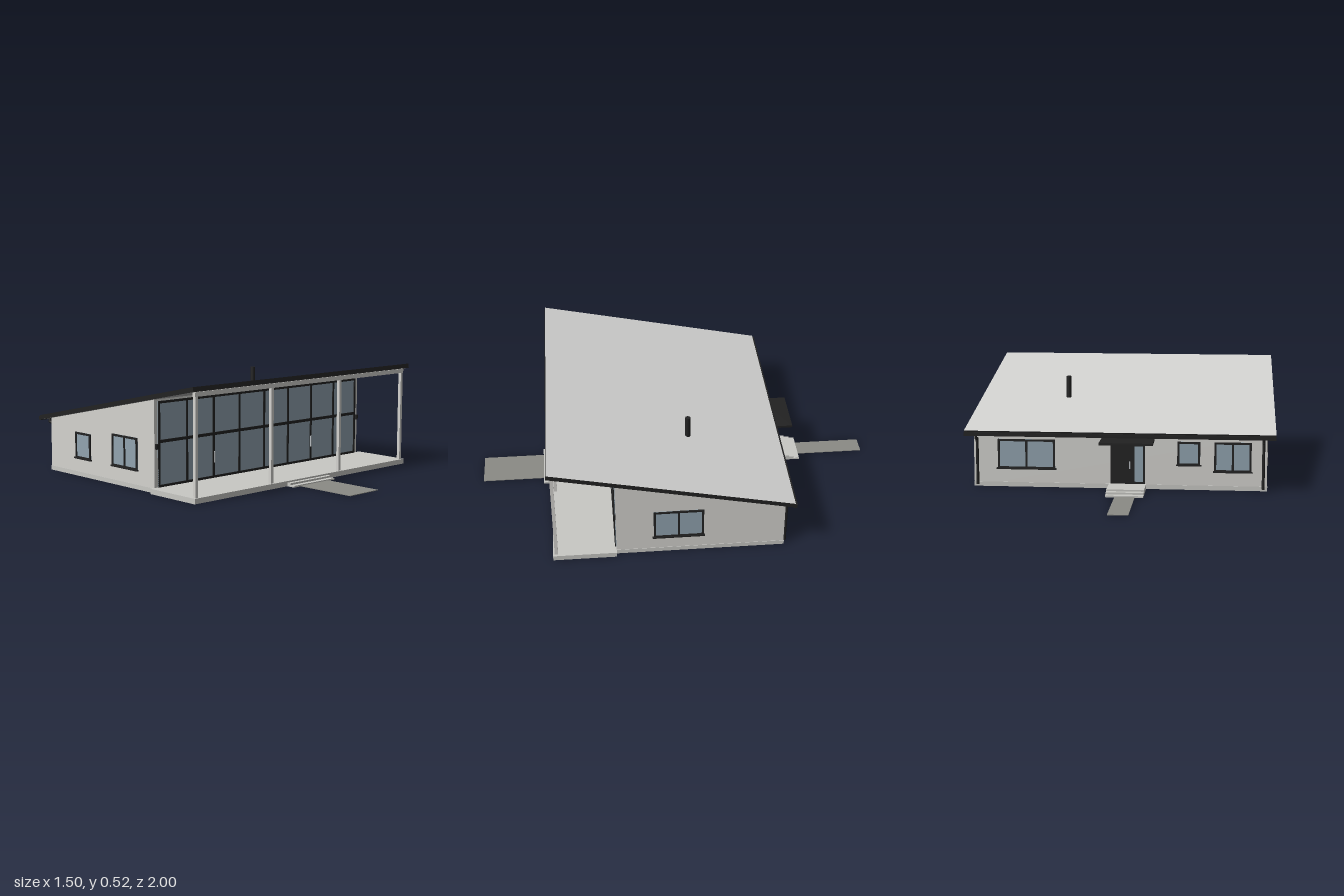
import * as THREE from 'three';

const mat = (name, color) => {
  const m = new THREE.MeshStandardMaterial({ color });
  m.name = name;
  return m;
};

export function createModel() {
  const root = new THREE.Group();
  root.name = 'house';
  const wall = mat('wall plaster', 0xd4d3cf);
  const concrete = mat('concrete', 0xc8c8c4);
  const roofing = mat('roof sheet', 0xd3d3d1);
  const soffit = mat('soffit', 0xb4b4b4);
  const dark = mat('dark trim', 0x222222);
  const glass = mat('glass', 0x92a4b0);
  const path = mat('path paving', 0x8b8b85);
  const metal = mat('handle metal', 0xb8bcc0);

  const add = (name, geo, m, parent = root) => {
    const mesh = new THREE.Mesh(geo, m);
    mesh.name = name;
    parent.add(mesh);
    return mesh;
  };
  // box given by its limits on each axis
  const box = (name, m, x0, x1, y0, y1, z0, z1, parent) => {
    const b = add(name, new THREE.BoxGeometry(x1 - x0, y1 - y0, z1 - z0), m, parent);
    b.position.set((x0 + x1) / 2, (y0 + y1) / 2, (z0 + z1) / 2);
    return b;
  };

  // sloping roof
  const zF = 0.65, zB = -0.51, yF = 0.525, yB = 0.28, t = 0.022;
  const slope = (yF - yB) / (zF - zB);
  const angle = Math.atan(slope);
  const under = z => yB + slope * (z - zB) - t / Math.cos(angle);
  const roof = add('roof', new THREE.BoxGeometry(1.5, t, Math.hypot(zF - zB, yF - yB)),
    [dark, dark, roofing, soffit, dark, dark]);
  roof.rotation.x = -angle;
  roof.position.set(0, (yF + yB) / 2 - Math.cos(angle) * t / 2, (zF + zB) / 2 + Math.sin(angle) * t / 2);

  // walls: side profile run across the width
  const W = 0.71, front = 0.34, back = -0.47;
  const profile = new THREE.Shape([
    new THREE.Vector2(back, 0), new THREE.Vector2(front, 0),
    new THREE.Vector2(front, under(front)), new THREE.Vector2(back, under(back)),
  ]);
  const body = new THREE.ExtrudeGeometry(profile, { depth: 2 * W, bevelEnabled: false });
  body.rotateY(-Math.PI / 2).translate(W, 0, 0);
  add('walls', body, wall);
  box('plinth', concrete, -W - 0.002, W + 0.002, 0, 0.022, back - 0.002, front);

  // terrace with beam and posts
  box('terrace', concrete, -0.735, 0.735, 0, 0.025, front, 0.645);
  box('beam', wall, -0.725, 0.725, 0.478, 0.499, 0.62, 0.638);
  for (const x of [-0.715, -0.238, 0.238, 0.715])
    box('post', wall, x - 0.0075, x + 0.0075, 0.025, 0.48, 0.621, 0.637);

  // front and back steps with paths
  box('frontStepUpper', concrete, -0.143, 0.143, 0, 0.017, 0.64, 0.665);
  box('frontStepLower', concrete, -0.143, 0.143, 0, 0.008, 0.64, 0.69);
  box('frontPath', path, -0.098, 0.098, 0, 0.003, 0.68, 1);
  box('backLanding', concrete, -0.13, 0.05, 0, 0.025, -0.605, back);
  box('backStepUpper', concrete, -0.13, 0.05, 0, 0.017, -0.632, back);
  box('backStepLower', concrete, -0.13, 0.05, 0, 0.008, -0.66, back);
  box('backPath', path, -0.09, 0.005, 0, 0.003, -1, -0.65);

  // framed window, built facing +z around its own centre
  const makeWindow = (name, w, h, panes, sill = true, bar = 0.01) => {
    const g = new THREE.Group();
    g.name = name;
    box('glass', glass, -w / 2, w / 2, -h / 2, h / 2, -0.002, 0.002, g);
    for (let i = 0; i <= panes; i++) {
      const x = -w / 2 + bar / 2 + (w - bar) * i / panes;
      box('mullion', dark, x - bar / 2, x + bar / 2, -h / 2, h / 2, 0, 0.006, g);
    }
    for (const s of [-1, 1]) {
      const y = s * (h - bar) / 2;
      box('rail', dark, -w / 2, w / 2, y - bar / 2, y + bar / 2, 0, 0.006, g);
    }
    if (sill) box('sill', dark, -w / 2 - 0.006, w / 2 + 0.006, -h / 2 - 0.003, -h / 2 + 0.004, 0, 0.01, g);
    root.add(g);
    return g;
  };

  // glazed front with middle rail and handles
  const fw = makeWindow('frontGlazing', 1.38, 0.403, 8, false, 0.011);
  fw.position.set(0, 0.2265, front + 0.001);
  box('middleRail', dark, -0.685, 0.685, 0.233, 0.247, front, front + 0.008);
  for (const s of [-1, 1]) {
    box('doorHandle', metal, s * 0.34 - 0.003, s * 0.34 + 0.003, 0.1, 0.155, front + 0.005, front + 0.012);
    box('wallLamp', dark, s * 0.7 - 0.006, s * 0.7 + 0.006, 0.205, 0.23, front, front + 0.012);
  }

  // side windows: [side, z0, z1, y0, y1, panes]
  for (const [s, z0, z1, y0, y1, n] of [
    [1, -0.08, 0.16, 0.09, 0.245, 2],
    [-1, 0.03, 0.22, 0.09, 0.245, 2],
    [-1, -0.26, -0.14, 0.09, 0.22, 1],
  ]) {
    const g = makeWindow('sideWindow', z1 - z0, y1 - y0, n);
    g.rotation.y = s * Math.PI / 2;
    g.position.set(s * (W + 0.001), (y0 + y1) / 2, (z0 + z1) / 2);
  }

  // back windows and door sidelight: [x0, x1, y0, y1, panes, sill]
  for (const [x0, x1, y0, y1, n, sill] of [
    [0.312, 0.592, 0.09, 0.235, 2, true],
    [-0.39, -0.28, 0.12, 0.235, 1, true],
    [-0.635, -0.457, 0.09, 0.235, 2, true],
    [-0.125, -0.065, 0.025, 0.22, 1, false],
  ]) {
    const g = makeWindow(sill ? 'backWindow' : 'doorSidelight', x1 - x0, y1 - y0, n, sill);
    g.rotation.y = Math.PI;
    g.position.set((x0 + x1) / 2, (y0 + y1) / 2, back - 0.001);
  }
  box('backDoor', dark, -0.068, 0.042, 0.025, 0.22, back - 0.007, back);
  box('backDoorHandle', metal, -0.054, -0.048, 0.1, 0.135, back - 0.013, back - 0.006);
  box('canopy', dark, -0.17, 0.085, 0.237, 0.248, -0.605, back);

  // gutter and downpipes
  box('gutter', dark, -0.75, 0.75, 0.256, 0.274, -0.519, -0.503);
  for (const x of [-0.692, 0.692]) {
    const run = new THREE.CurvePath();
    const pts = [[0.262, -0.51], [0.242, -0.506], [0.236, -0.479], [0.01, -0.478]]
      .map(([y, z]) => new THREE.Vector3(x, y, z));
    for (let i = 0; i < 3; i++) run.add(new THREE.LineCurve3(pts[i], pts[i + 1]));
    for (const c of run.curves) add('downpipe', new THREE.TubeGeometry(c, 1, 0.007, 10), dark);
    for (const p of pts.slice(1, 3))
      add('pipeElbow', new THREE.SphereGeometry(0.0075, 10, 8), dark).position.copy(p);
  }

  // flue
  add('chimney', new THREE.CylinderGeometry(0.013, 0.013, 0.14, 20), dark).position.set(0.3, 0.417, -0.04);

  return root;
}
